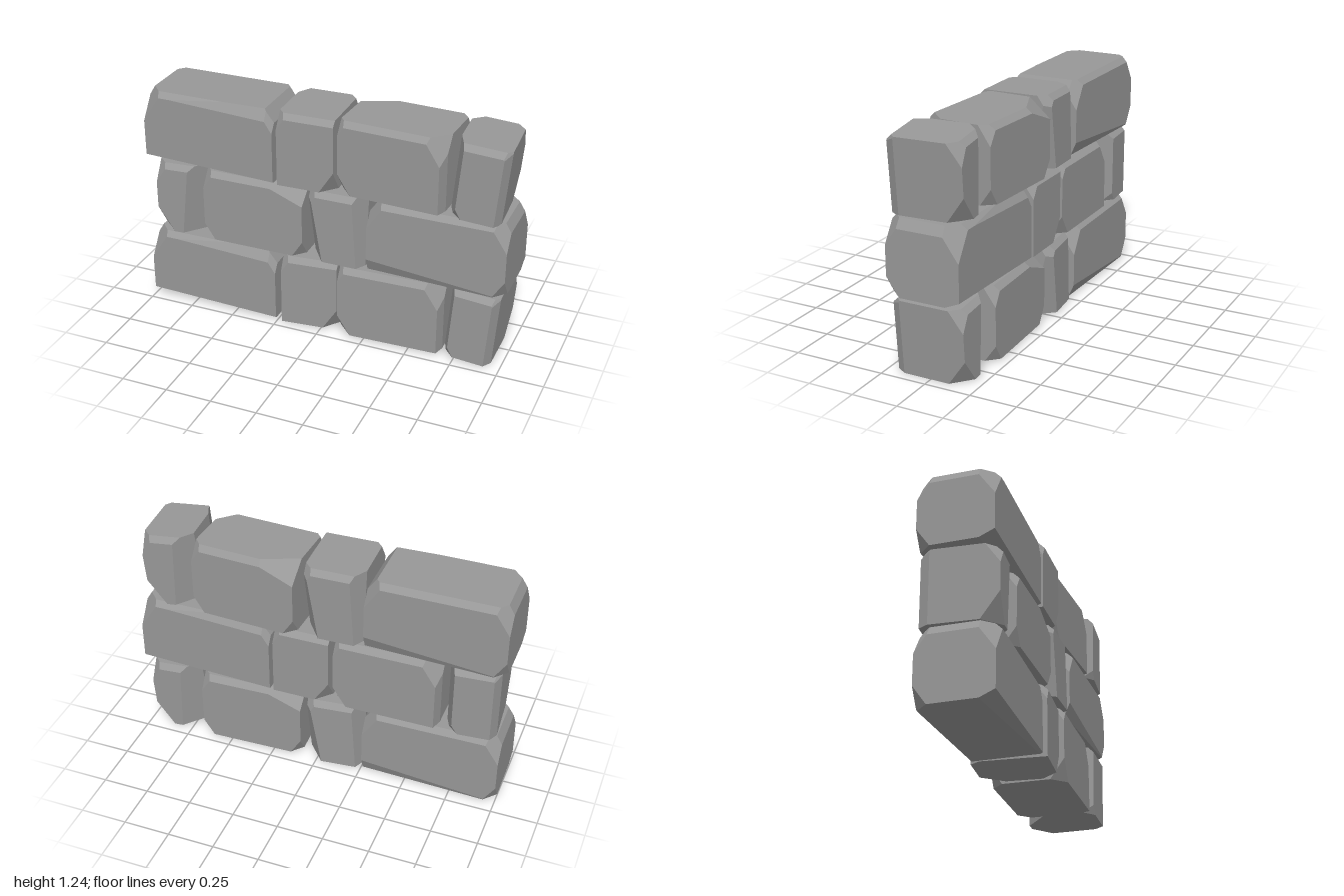
import * as THREE from 'three';
import { ConvexGeometry } from 'three/addons/geometries/ConvexGeometry.js';

const material = new THREE.MeshStandardMaterial({ color: 0x979797, flatShading: true });
const SIDES = [-1, 1];
const THICK = 0.4;

// A plane cutting the block: signs pick the corner, dist is how far from it the
// plane meets each edge; a zero sign leaves the plane parallel to that axis.
function cutPlane(half, signs, dist) {
  const n = new THREE.Vector3(...signs.map((s, i) => (s ? s / dist[i] : 0)));
  const corner = new THREE.Vector3(...signs.map((s, i) => s * half[i]));
  return new THREE.Plane(n, 1 - n.dot(corner)).normalize();
}

// Box sides, a bevel along both long top edges, one chip per corner, extra cuts
function stonePlanes({ length, chips, cuts }) {
  const half = [length / 2, THICK / 2, THICK / 2];
  const planes = [];
  for (const s of SIDES) {
    half.forEach((h, i) => {
      planes.push(new THREE.Plane(new THREE.Vector3().setComponent(i, s), -h));
    });
    planes.push(cutPlane(half, [0, 1, s], [0, 0.028, 0.03]));
  }
  let corner = 0;
  for (const x of SIDES) for (const y of SIDES) for (const z of SIDES) {
    const chip = chips[corner++];
    if (chip) planes.push(cutPlane(half, [x, y, z], [chip * 0.65, chip, chip * 0.7]));
  }
  for (const [signs, dist] of cuts) planes.push(cutPlane(half, signs, dist));
  return planes;
}

// Hull of the points where three planes meet without leaving the block
function chippedBlock(stone) {
  const planes = stonePlanes(stone);
  const points = [];
  planes.forEach((p, a) => planes.slice(a + 1).forEach((q, b) => {
    planes.slice(a + b + 2).forEach(r => {
      const v = q.normal.clone().cross(r.normal);
      const det = p.normal.dot(v);
      if (Math.abs(det) < 1e-6) return;
      v.multiplyScalar(-p.constant)
        .addScaledVector(r.normal.clone().cross(p.normal), -q.constant)
        .addScaledVector(p.normal.clone().cross(q.normal), -r.constant)
        .divideScalar(det);
      const inside = planes.every(k => k.distanceToPoint(v) < 1e-6);
      if (inside && points.every(k => k.distanceTo(v) > 1e-4)) points.push(v);
    });
  }));
  return new ConvexGeometry(points);
}

// The four stones of a course, left to right. Chip order: left then right,
// each bottom then top, each back then front.
const STONES = [
  { name: 'longStone', x: -0.63, length: 0.74,
    chips: [0.1, 0, 0.14, 0.17, 0, 0, 0.15, 0.12],
    cuts: [
      [[1, 1, 1], [1.1, 0.06, 0.04]], // sloping top front bevel
      [[-1, -1, 1], [0.9, 0.035, 0.08]], // sloping bottom front bevel
      [[1, -1, -1], [0.75, 0.07, 0.03]], // shallow back facet
      [[1, 1, 0], [0.05, 0.07, 0]], // right top edge
      [[-1, 1, 0], [0.03, 0.05, 0]], // left top edge
    ] },
  { name: 'smallStone', x: -0.083, length: 0.31,
    chips: [0, 0, 0, 0.09, 0, 0.12, 0.1, 0],
    cuts: [
      [[1, -1, -1], [0.085, 0.5, 0.12]], // back wedges
      [[-1, 1, -1], [0.06, 0.9, 0.1]],
    ] },
  { name: 'mediumStone', x: 0.383, length: 0.57,
    chips: [0.09, 0.11, 0, 0.08, 0.09, 0, 0.1, 0.17],
    cuts: [
      [[1, 0, 1], [0.02, 0, 0.06]], // right front edge
      [[-1, 1, -1], [0.25, 0.1, 0.12]], // broad back corner
    ] },
  { name: 'endStone', x: 0.825, length: 0.27,
    chips: [0, 0.11, 0, 0, 0.14, 0, 0.11, 0.08],
    cuts: [
      [[-1, 0, 1], [0.04, 0, 0.11]], // front edges
      [[1, 0, 1], [0.03, 0, 0.05]],
      [[-1, -1, -1], [0.13, 1.2, 0.13]], // back left wedge
    ] },
];

// Courses: height, half turn, and the [z shift, yaw, roll] of each stone
const LEVEL = [0, 0, 0];
const COURSES = [
  { name: 'bottomCourse', y: 0.217, turn: 0,
    tilts: [[0.006, 0.01, 0], [0, 0.1, 0], [0, 0.03, 0], [0, 0, -0.08]] },
  { name: 'middleCourse', y: 0.633, turn: Math.PI,
    tilts: [LEVEL, LEVEL, LEVEL, [0, 0.08, 0]] },
  { name: 'topCourse', y: 1.04, turn: 0,
    tilts: [LEVEL, [0, 0.02, 0], [-0.012, -0.055, 0], [0.008, 0.06, -0.09]] },
];

export function createModel() {
  const wall = new THREE.Group();
  wall.name = 'stoneWall';
  const geometries = STONES.map(chippedBlock);
  for (const course of COURSES) {
    const row = new THREE.Group();
    row.name = course.name;
    row.position.y = course.y;
    row.rotation.y = course.turn;
    STONES.forEach((stone, i) => {
      const [z, yaw, roll] = course.tilts[i];
      const mesh = new THREE.Mesh(geometries[i], material);
      mesh.name = stone.name;
      mesh.position.set(stone.x, 0, z);
      mesh.rotation.set(0, yaw, roll);
      row.add(mesh);
    });
    wall.add(row);
  }
  return wall;
}
